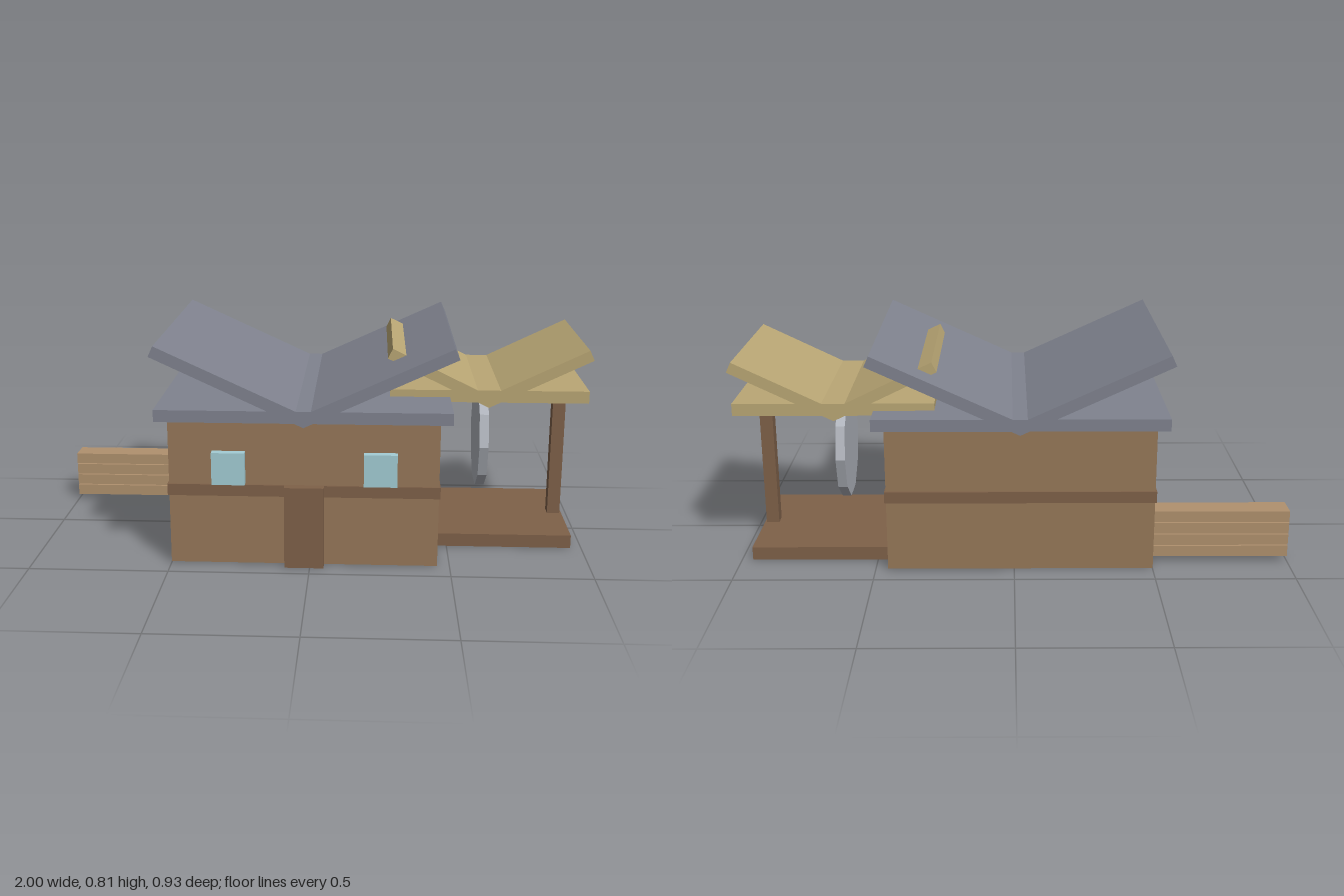
import * as THREE from 'three';

const material = (color) => new THREE.MeshStandardMaterial({ color, flatShading: true });
const wall = material(0x967859);
const trim = material(0x7f6149);
const slate = material(0x80838f);
const straw = material(0xbaa775);
const plankWood = material(0xb0916e);
const steel = material(0xb0b4bc);
const glass = material(0xa3cdd5);

export function createModel() {
  const model = new THREE.Group();

  const add = (name, geometry, mat) => {
    const mesh = new THREE.Mesh(geometry, mat);
    mesh.name = name;
    model.add(mesh);
    return mesh;
  };

  // Box given by its extents along each axis
  const box = (name, mat, [x0, x1], [y0, y1], [z0, z1]) =>
    add(name, new THREE.BoxGeometry(x1 - x0, y1 - y0, z1 - z0), mat)
      .position.set((x0 + x1) / 2, (y0 + y1) / 2, (z0 + z1) / 2);

  // Two upswept roof wings joined in a valley, extruded along z
  const butterflyRoof = (name, mat, profile, z0, z1) => {
    const shape = new THREE.Shape(profile.map(([x, y]) => new THREE.Vector2(x, y)));
    const geometry = new THREE.ExtrudeGeometry(shape, { depth: z1 - z0, bevelEnabled: false });
    add(name, geometry, mat).position.z = z0;
  };

  // Main building
  box('walls', wall, [-0.5, 0.455], [0.01, 0.55], [-0.415, 0.415]);
  box('wallBand', trim, [-0.505, 0.46], [0.265, 0.307], [-0.422, 0.422]);
  box('door', trim, [-0.09, 0.05], [0.007, 0.307], [0.4, 0.45]);
  for (const x of [-0.345, 0.19]) {
    box('window', glass, [x, x + 0.117], [0.313, 0.43], [0.4, 0.445]);
  }

  // Main roof
  box('roofSlab', slate, [-0.54, 0.495], [0.545, 0.588], [-0.463, 0.463]);
  butterflyRoof('roofWings', slate, [
    [-0.55, 0.775], [-0.02, 0.53], [0.51, 0.775],
    [0.493, 0.812], [-0.02, 0.576], [-0.533, 0.812],
  ], -0.463, 0.463);

  // Saw shed: platform, post and roof
  box('platform', trim, [0.4, 0.96], [0.006, 0.055], [-0.325, 0.208]);
  box('post', trim, [0.905, 0.953], [0.05, 0.575], [-0.084, -0.035]);
  box('shedRoofSlab', straw, [0.28, 0.99], [0.57, 0.614], [-0.356, 0.236]);
  butterflyRoof('shedRoofWings', straw, [
    [0.27, 0.727], [0.635, 0.55], [1.0, 0.727],
    [0.983, 0.763], [0.635, 0.594], [0.287, 0.763],
  ], -0.356, 0.236);

  // Ten-sided saw blade facing sideways, with corners toward front and back
  const blade = new THREE.CylinderGeometry(0.2, 0.2, 0.034, 10);
  blade.rotateZ(Math.PI / 2);
  add('sawBlade', blade, steel).position.set(0.633, 0.37, -0.06);

  // Stacked planks
  for (let i = 0; i < 4; i++) {
    const y = 0.025 + i * 0.045;
    box('plank', plankWood, [-1, -0.48], [y, y + 0.041], [-0.346, -0.256]);
  }

  return model;
}
